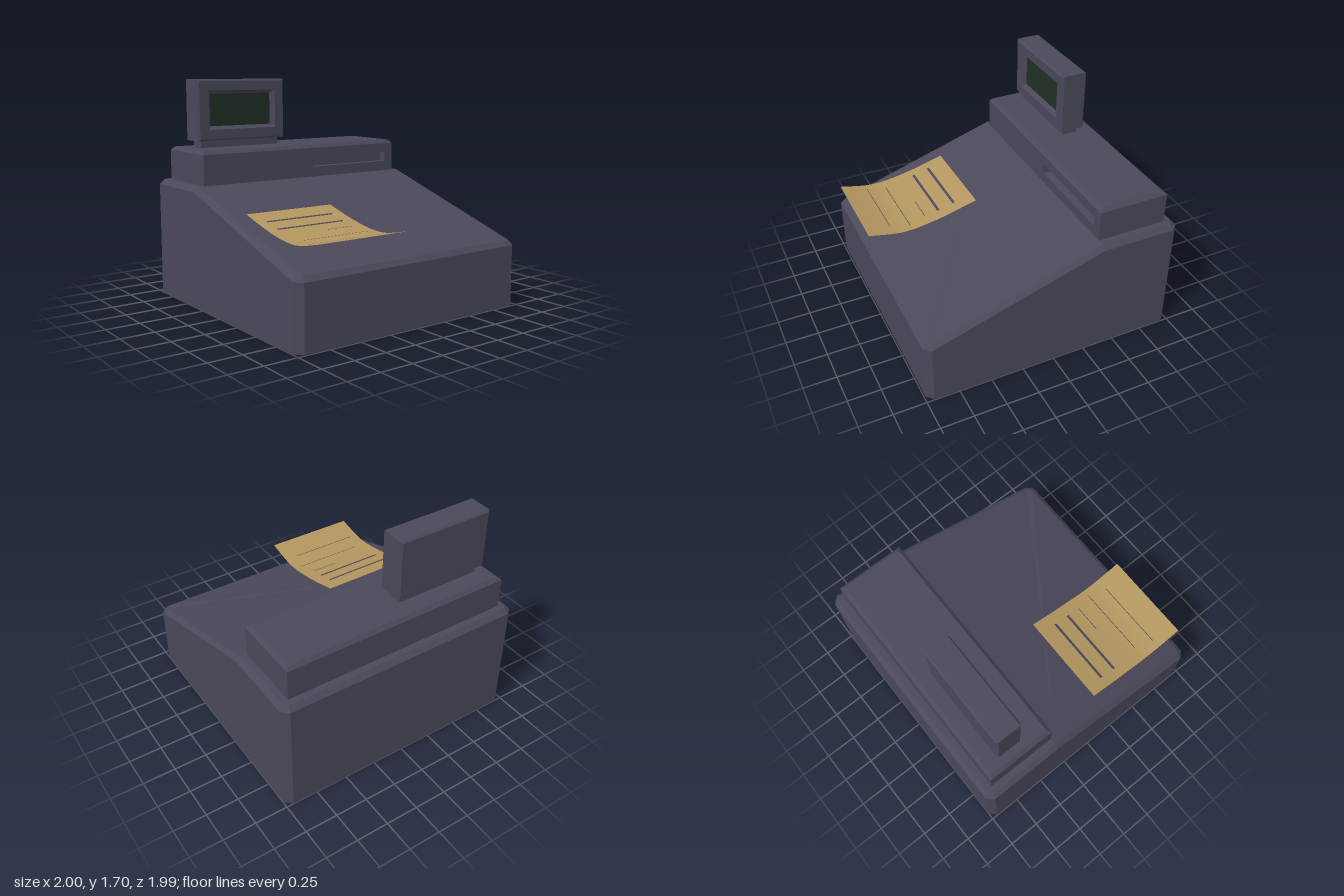
import * as THREE from 'three';

const bodyMat = new THREE.MeshStandardMaterial({ color: 0x4a485a, side: THREE.DoubleSide });
bodyMat.name = 'slate plastic';
const screenMat = new THREE.MeshStandardMaterial({ color: 0x212e23 });
screenMat.name = 'dark green glass';
const paperMat = new THREE.MeshStandardMaterial({ color: 0xb3965f, side: THREE.DoubleSide });
paperMat.name = 'tan paper';

// Flat-faced geometry from a list of polygons, each fanned from its first corner
function fromPolygons(polys) {
  const pos = [];
  for (const p of polys)
    for (let i = 1; i < p.length - 1; i++) pos.push(...p[0], ...p[i], ...p[i + 1]);
  const g = new THREE.BufferGeometry();
  g.setAttribute('position', new THREE.Float32BufferAttribute(pos, 3));
  g.computeVertexNormals();
  return g;
}

// Quads joining successive rings; skip(ring, side) leaves a side open
function loft(rings, skip = () => false) {
  const polys = [];
  for (let r = 0; r < rings.length - 1; r++) {
    const a = rings[r], b = rings[r + 1];
    a.forEach((p, i) => {
      const j = (i + 1) % a.length;
      if (!skip(r, i)) polys.push([p, a[j], b[j], b[i]]);
    });
  }
  return polys;
}

// Rectangular rings, counter-clockwise seen from +y and from +x
const rectY = (y, x0, x1, z0, z1) => [[x1, y, z1], [x1, y, z0], [x0, y, z0], [x0, y, z1]];
const rectX = (x, z0, z1, y0, y1) => [[x, y0, z1], [x, y0, z0], [x, y1, z0], [x, y1, z1]];

function addMesh(group, name, geometry, material) {
  const m = new THREE.Mesh(geometry, material);
  m.name = name;
  group.add(m);
  return m;
}

const FOLD = -0.37; // where the flat rear deck meets the slope

// Ten-point outline of the housing with chamfered corners
function housingRing(x0, x1, z, c, height) {
  return [
    [x1, z - c], [x1, c - z], [x1 - c, -z], [FOLD, -z], [x0 + c, -z],
    [x0, c - z], [x0, z - c], [x0 + c, z], [FOLD, z], [x1 - c, z],
  ].map(([x, zz]) => [x, height(x), zz]);
}

const slopeHeight = (yHigh, yLow, xEnd) => (x) =>
  THREE.MathUtils.lerp(yHigh, yLow, THREE.MathUtils.clamp((x - FOLD) / (xEnd - FOLD), 0, 1));

function addHousing(group) {
  const base = housingRing(-1, 0.99, 0.995, 0.05, () => 0);
  const shoulder = housingRing(-1, 0.99, 0.995, 0.05, slopeHeight(0.875, 0.465, 0.94));
  const top = housingRing(-0.965, 0.955, 0.96, 0.03, slopeHeight(0.91, 0.5, 0.925));
  const slope = [8, 9, 0, 1, 2, 3].map((i) => top[i]);
  addMesh(group, 'housing', fromPolygons([...loft([base, shoulder, top]), slope]), bodyMat);

  // Rear deck, open beneath the raised console
  const outline = [3, 4, 5, 6, 7, 8].map((i) => [top[i][0], top[i][2]]);
  outline.push([FOLD, 0.91], [-0.915, 0.91], [-0.915, -0.91], [FOLD, -0.91]);
  const shape = new THREE.Shape(outline.map(([x, z]) => new THREE.Vector2(x, -z)));
  const deck = new THREE.ShapeGeometry(shape).rotateX(-Math.PI / 2);
  addMesh(group, 'rearDeck', deck, bodyMat).position.y = 0.91;
}

function addConsole(group) {
  const x0 = -0.915, x1 = FOLD, z = 0.91;
  const top = rectY(1.17, x0 + 0.027, x1 - 0.027, -z + 0.027, z - 0.027);
  const shell = loft(
    [rectY(0.91, x0, x1, -z, z), rectY(1.143, x0, x1, -z, z), top],
    (ring, side) => ring === 0 && side === 0
  );
  // Face with a recessed slot
  const back = rectX(x1 - 0.06, -0.83, -0.08, 0.99, 1.065);
  const face = loft([
    rectX(x1, -z, z, 0.91, 1.143),
    rectX(x1, -0.83, -0.08, 0.99, 1.065),
    back,
  ]);
  addMesh(group, 'console', fromPolygons([...shell, top]), bodyMat);
  addMesh(group, 'slotFace', fromPolygons([...face, back]), bodyMat);
}

function addDisplay(group) {
  const stand = addMesh(group, 'displayStand', new THREE.BoxGeometry(0.12, 0.07, 0.69), bodyMat);
  stand.position.set(-0.69, 1.197, 0.445);

  // Bevelled case running from its back to the sunken screen
  const b = 0.013, x0 = -0.79, x1 = -0.585;
  const outer = (x, inset) => rectX(x, 0.06 + inset, 0.832 - inset, 1.225 + inset, 1.695 - inset);
  const back = outer(x0, b);
  const glass = rectX(x1 - 0.035, 0.175, 0.715, 1.335, 1.585);
  const shell = loft([
    back, outer(x0 + b, 0), outer(x1 - b, 0), outer(x1, b),
    rectX(x1, 0.145, 0.745, 1.31, 1.61), glass,
  ]);
  addMesh(group, 'displayCase', fromPolygons([...shell, [...back].reverse()]), bodyMat);
  addMesh(group, 'displayScreen', fromPolygons([glass]), screenMat);
}

function addReceipt(group) {
  const curve = new THREE.SplineCurve(
    [[0.12, 0.762], [0.45, 0.677], [0.73, 0.645], [1.0, 0.695]].map((p) => new THREE.Vector2(...p))
  );
  // Curled sheet
  const z0 = 0.107, z1 = 0.84;
  const pts = curve.getPoints(18);
  const geo = new THREE.PlaneGeometry(1, z1 - z0, pts.length - 1, 1).rotateX(-Math.PI / 2);
  geo.translate(0, 0, (z0 + z1) / 2);
  const pos = geo.attributes.position;
  for (let i = 0; i < pos.count; i++) {
    const p = pts[i % pts.length];
    pos.setXY(i, p.x, p.y);
  }
  geo.computeVertexNormals();
  addMesh(group, 'receipt', geo, paperMat);

  // Printed rules: centre x, width, z range
  const rules = [
    [0.27, 0.02, 0.2, 0.76], [0.4, 0.02, 0.2, 0.76], [0.513, 0.005, 0.2, 0.42],
    [0.652, 0.005, 0.16, 0.73], [0.8, 0.005, 0.21, 0.78],
  ];
  const heightAt = (x) => {
    const i = Math.max(1, pts.findIndex((p) => p.x >= x));
    const a = pts[i - 1], c = pts[i];
    return a.y + ((c.y - a.y) * (x - a.x)) / (c.x - a.x) + 0.002;
  };
  for (const [x, w, a, c] of rules) {
    const l = x - w / 2, r = x + w / 2, yl = heightAt(l), yr = heightAt(r);
    const quad = [[l, yl, c], [r, yr, c], [r, yr, a], [l, yl, a]];
    addMesh(group, 'printedRule', fromPolygons([quad]), bodyMat);
  }
}

export function createModel() {
  const group = new THREE.Group();
  group.name = 'cashRegister';
  addHousing(group);
  addConsole(group);
  addDisplay(group);
  addReceipt(group);
  return group;
}
